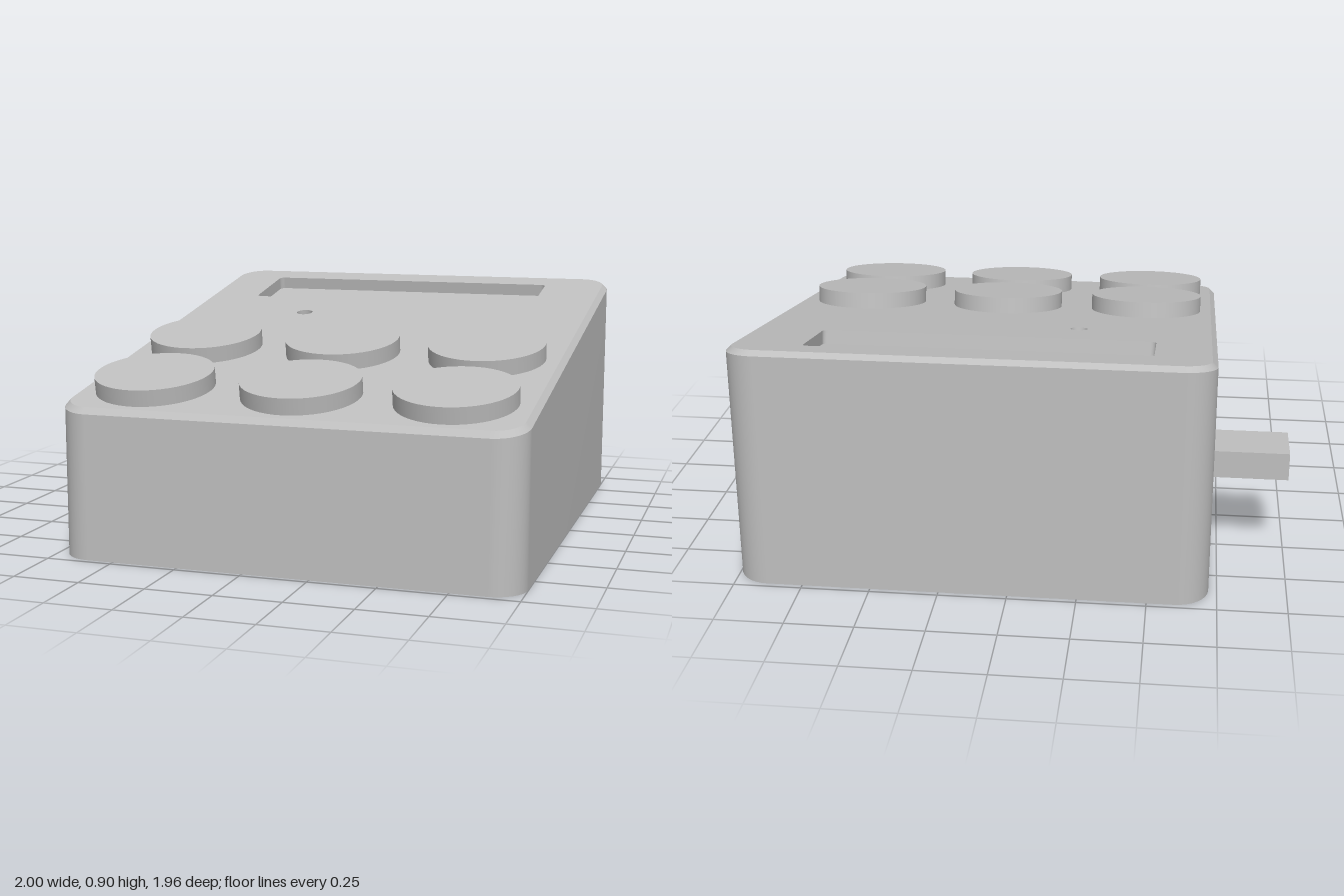
import * as THREE from 'three';

const CX = 0.14, HW = 0.86, HD = 0.98, R = 0.12;   // case footprint
const TILT = THREE.MathUtils.degToRad(10), TOP = 0.7325;
const topY = z => TOP - Math.tan(TILT) * z;

// Rounded rectangle as points (x, -z), counter-clockwise seen from above
function roundLoop(cx, cz, hw, hd, r, n = 8) {
  const pts = [];
  [[1, 1], [-1, 1], [-1, -1], [1, -1]].forEach(([sx, sy], k) => {
    for (let i = 0; i <= n; i++) {
      const a = (k + i / n) * Math.PI / 2;
      pts.push(new THREE.Vector2(cx + sx * (hw - r) + r * Math.cos(a), -cz + sy * (hd - r) + r * Math.sin(a)));
    }
  });
  return pts;
}

// Strip between two closed loops; height functions take z
function strip(lo, yLo, hi, yHi, skip = -1) {
  const pos = [], idx = [], n = lo.length;
  lo.forEach(p => pos.push(p.x, yLo(-p.y), -p.y));
  hi.forEach(p => pos.push(p.x, yHi(-p.y), -p.y));
  for (let i = 0; i < n; i++) {
    if (i === skip) continue;
    const j = (i + 1) % n;
    idx.push(i, j, n + j, i, n + j, n + i);
  }
  const g = new THREE.BufferGeometry();
  g.setAttribute('position', new THREE.Float32BufferAttribute(pos, 3));
  g.setIndex(idx);
  g.computeVertexNormals();
  return g;
}

// Flat horizontal sheet with holes, facing up or down
function sheet(outline, holes = [], y = 0, down = false) {
  const s = new THREE.Shape(outline);
  holes.forEach(h => s.holes.push(new THREE.Path(h)));
  const g = new THREE.ShapeGeometry(s);
  if (down) {
    const ix = g.index.array;
    for (let i = 0; i < ix.length; i += 3) [ix[i], ix[i + 1]] = [ix[i + 1], ix[i]];
    g.computeVertexNormals();
  }
  return g.rotateX(-Math.PI / 2).translate(0, y, 0);
}

const circle = (x, z, r, n = 24) => Array.from({ length: n }, (_, i) => {
  const a = i / n * Math.PI * 2;
  return new THREE.Vector2(x + r * Math.cos(a), -z + r * Math.sin(a));
});

export function createModel() {
  const model = new THREE.Group();
  const grey = new THREE.MeshStandardMaterial({ color: 0xbfbfbf, side: THREE.DoubleSide });
  grey.name = 'light grey plastic';
  const add = (name, geo, parent = model) => {
    const m = new THREE.Mesh(geo, grey);
    m.name = name;
    parent.add(m);
    return m;
  };
  const flat = y => () => y;

  // Wedge-shaped case walls, open where the socket panel sits
  const outer = roundLoop(CX, 0, HW, HD, R), inner = roundLoop(CX, 0, HW - 0.02, HD - 0.02, R - 0.02);
  const rimY = z => topY(z) - 0.02;
  add('caseWalls', strip(outer, flat(0), outer, rimY, 17));
  add('caseChamfer', strip(outer, rimY, inner, topY));

  // Right-hand side panel with round socket hole
  const zf = HD - R, hole = { z: -0.29, y: 0.385, r: 0.08 };
  const side = new THREE.Shape([[-zf, 0], [zf, 0], [zf, rimY(zf)], [-zf, rimY(-zf)]].map(p => new THREE.Vector2(...p)));
  side.holes.push(new THREE.Path().absarc(hole.z, hole.y, hole.r, 0, Math.PI * 2, true));
  add('sidePanel', new THREE.ShapeGeometry(side, 16).rotateY(-Math.PI / 2).translate(CX - HW, 0, 0));
  add('socketWall', new THREE.CylinderGeometry(hole.r, hole.r, 0.08, 32, 1, true)
    .rotateZ(Math.PI / 2).translate(CX - HW + 0.04, hole.y, hole.z));
  add('socketBack', new THREE.CircleGeometry(hole.r, 32).rotateY(-Math.PI / 2)
    .translate(CX - HW + 0.08, hole.y, hole.z));

  // Rectangular plug sticking out of the side
  add('plug', new THREE.BoxGeometry(0.3, 0.105, 0.2).translate(-0.85, 0.382, -0.5));

  // Sloping control panel
  const panel = new THREE.Group();
  panel.name = 'controlPanel';
  panel.position.y = TOP;
  panel.rotation.x = TILT;
  model.add(panel);
  const c = Math.cos(TILT);
  const outline = inner.map(p => new THREE.Vector2(p.x, p.y / c));
  const screen = roundLoop(0.118, -0.688 / c, 0.617, 0.158 / c, 0.02, 4);
  const lamp = circle(-0.2, -0.308 / c, 0.033);
  add('panelFace', sheet(outline, [screen, lamp]), panel);
  [['screen', screen, 0.05], ['lamp', lamp, 0.06]].forEach(([name, loop, depth]) => {
    add(name + 'RecessWall', strip(loop, flat(0), loop, flat(-depth)), panel);
    add(name + 'RecessFloor', sheet(loop, [], -depth), panel);
  });

  // Six round push buttons
  for (const x of [-0.435, 0.135, 0.705]) {
    for (const z of [0.212, 0.712]) {
      add('button', new THREE.CylinderGeometry(0.222, 0.222, 0.1, 48).translate(x, 0.012, z / c), panel);
    }
  }

  // Underside: outer rim, base plate and corner screw recesses
  const seam = roundLoop(CX, 0, HW - 0.03, HD - 0.03, R - 0.03);
  add('bottomRim', sheet(outer, [seam], 0, true));
  add('bottomSeam', strip(seam, flat(0.006), seam, flat(0)));
  const holes = [];
  for (const sx of [-1, 1]) {
    for (const sz of [-1, 1]) {
      const x = CX + sx * (HW - 0.1), z = sz * (HD - 0.1);
      const mouth = circle(x, z, 0.042), floor = circle(x, z, 0.03);
      holes.push(mouth);
      add('screwRecess', strip(floor, flat(0.036), mouth, flat(0.006)));
      add('screwHead', sheet(floor, [], 0.036, true));
    }
  }
  add('basePlate', sheet(seam, holes, 0.006, true));

  return model;
}
